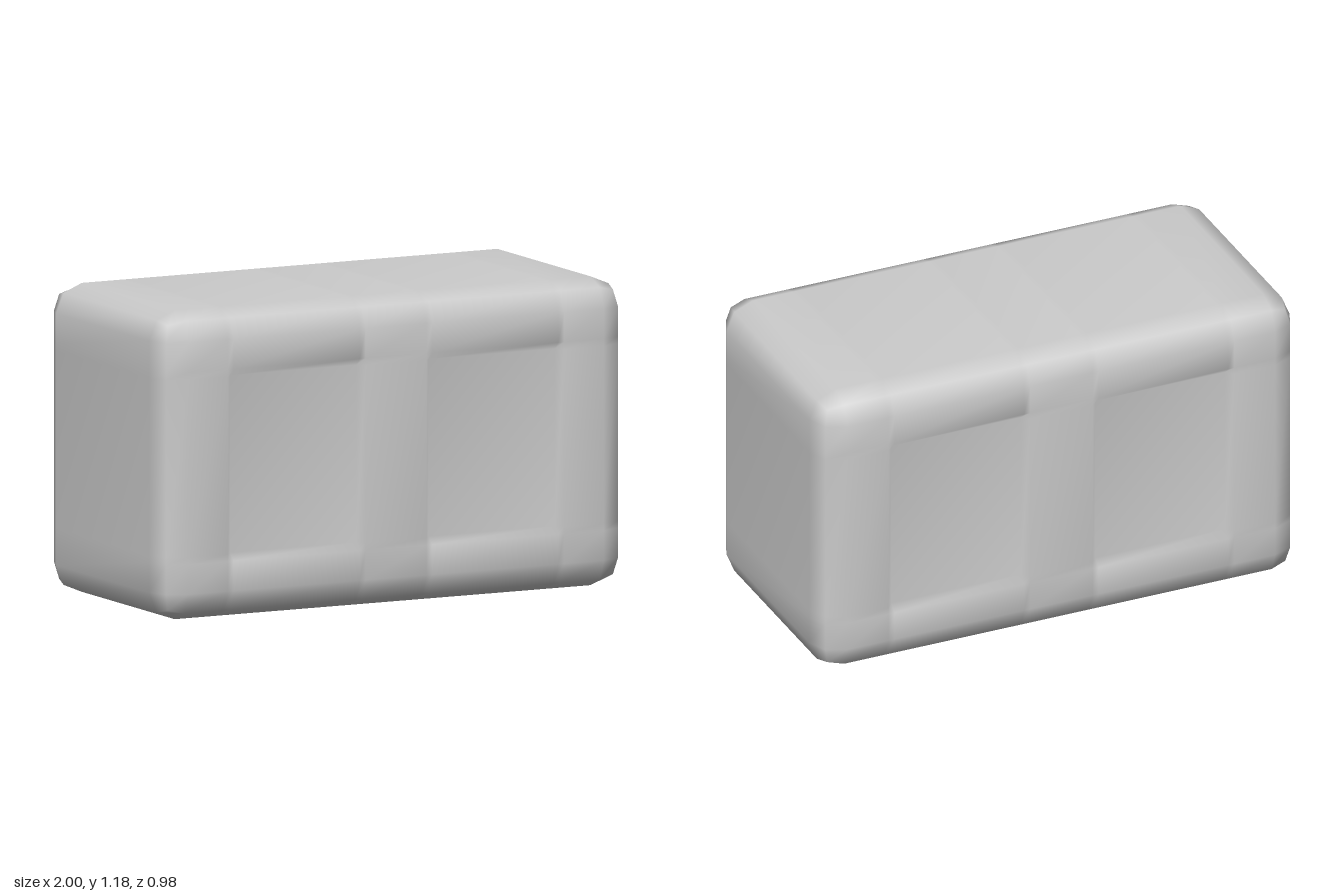
import * as THREE from 'three';
import { mergeVertices } from 'three/addons/utils/BufferGeometryUtils.js';

const SIZE = new THREE.Vector3(2, 1.185, 0.975);
const R = 0.11;      // edge rounding
const DEPTH = 0.03;  // depth of the recessed panels

// Grid lines along each axis, centred on the block
const mirror = (half) => [...half.map((v) => -v).reverse(), ...half];
const LINES = {
  x: mirror([0.13, 0.155, 0.695, 0.72, 1 - R, 1]),
  y: mirror([0.34, 0.368, SIZE.y / 2 - R, SIZE.y / 2]),
  z: mirror([SIZE.z / 2 - R, SIZE.z / 2]),
};

function blockGeometry() {
  const seg = (axis) => LINES[axis].length - 1;
  const geo = new THREE.BoxGeometry(seg('x'), seg('y'), seg('z'), seg('x'), seg('y'), seg('z'));
  const pos = geo.attributes.position;
  const inner = SIZE.clone().multiplyScalar(0.5).subScalar(R);
  const p = new THREE.Vector3();
  const core = new THREE.Vector3();
  const line = (axis) => LINES[axis][Math.round(p[axis] + seg(axis) / 2)];

  for (let i = 0; i < pos.count; i++) {
    p.fromBufferAttribute(pos, i);
    p.set(line('x'), line('y'), line('z'));
    // round the edges and corners
    core.copy(p).clamp(inner.clone().negate(), inner);
    p.sub(core).setLength(R).add(core);
    // sink the two panels on the front and the back
    const ax = Math.abs(p.x);
    if (ax > 0.15 && ax < 0.7 && Math.abs(p.y) < 0.35 && Math.abs(p.z) > inner.z + 0.01) {
      p.z -= Math.sign(p.z) * DEPTH;
    }
    pos.setXYZ(i, p.x, p.y, p.z);
  }

  // weld the six sides so the shading runs smoothly over the edges
  geo.deleteAttribute('normal');
  geo.deleteAttribute('uv');
  const welded = mergeVertices(geo, 1e-4);
  welded.clearGroups();
  welded.computeVertexNormals();
  return welded;
}

export function createModel() {
  const group = new THREE.Group();
  group.name = 'panelledBlock';
  const block = new THREE.Mesh(blockGeometry(), new THREE.MeshStandardMaterial({ color: 0xcccccc }));
  block.name = 'block';
  block.position.y = SIZE.y / 2;
  group.add(block);
  return group;
}
